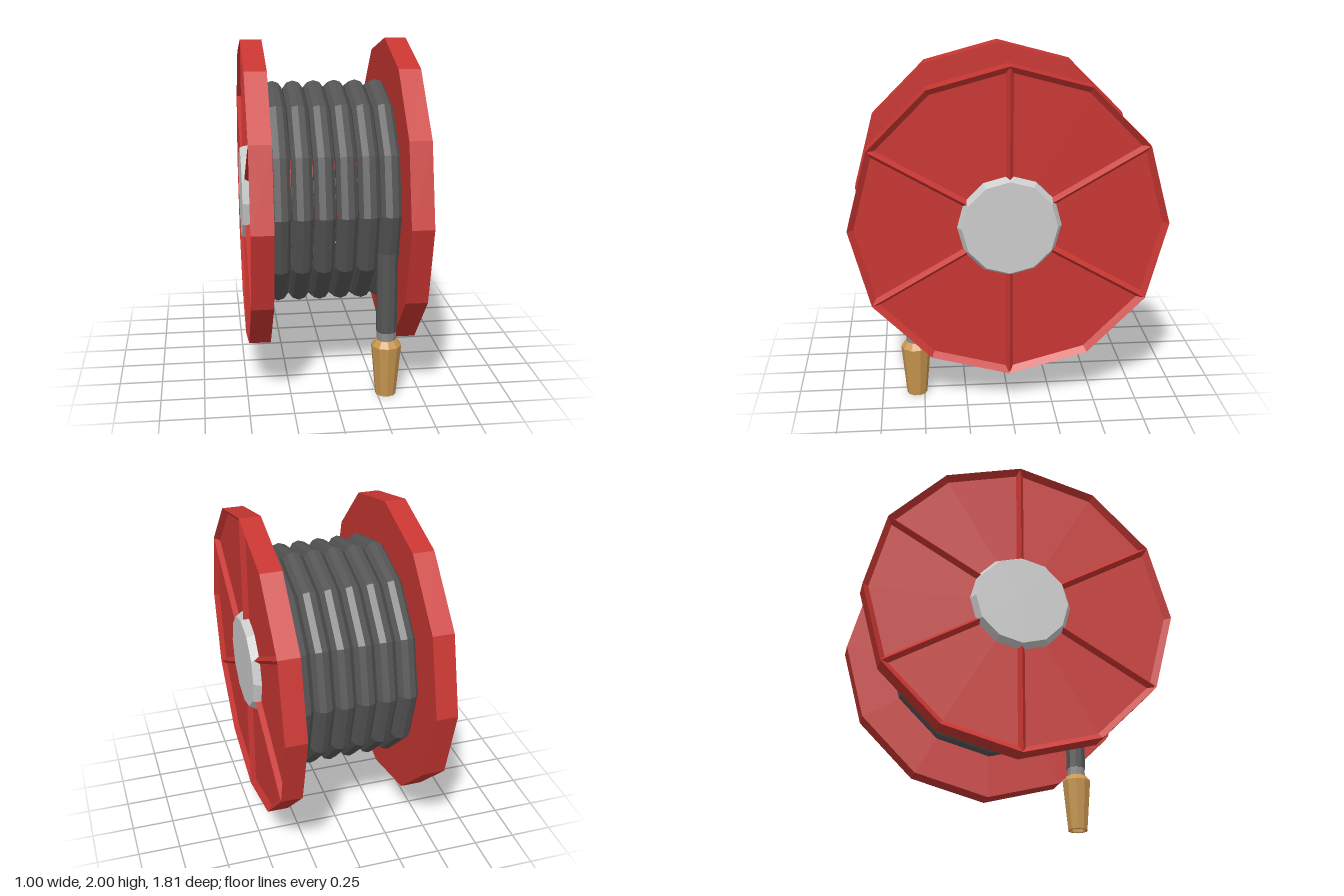
import * as THREE from 'three';

const AXLE_Y = 1.095;
const SIDES = 12;

const paint = (color, side = THREE.FrontSide) =>
  new THREE.MeshStandardMaterial({ color, flatShading: true, side });
const red = paint(0xc83632);
const rubber = paint(0x555555);
const steel = paint(0xcccccc);
const fittingGrey = paint(0x8c8c8c);
const brass = paint(0xc8964f, THREE.DoubleSide);

function add(parent, name, geometry, material) {
  const mesh = new THREE.Mesh(geometry, material);
  mesh.name = name;
  parent.add(mesh);
  return mesh;
}

const lathe = (profile, sides) =>
  new THREE.LatheGeometry(profile.map(([r, h]) => new THREE.Vector2(r, h)), sides);

// Lathe turned so that its axis runs along x
const wheelLathe = (profile) => lathe(profile, SIDES).rotateZ(-Math.PI / 2);

// Straight piece of hose between two points
function hosePiece(parent, a, b, radius, material, name) {
  const dir = b.clone().sub(a);
  const mesh = add(parent, name,
    new THREE.CylinderGeometry(radius, radius, dir.length(), 10), material);
  mesh.position.copy(a).add(b).multiplyScalar(0.5);
  mesh.quaternion.setFromUnitVectors(new THREE.Vector3(0, 1, 0), dir.normalize());
}

// One reel flange facing +x: dished disc, six ridge spokes and a hub cap
function flange() {
  const group = new THREE.Group();
  add(group, 'disc', wheelLathe(
    [[0, 0.36], [0.907, 0.36], [0.907, 0.485], [0.872, 0.455], [0, 0.455]]), red);

  const ridge = new THREE.Shape([
    new THREE.Vector2(-0.025, 0.45), new THREE.Vector2(0.025, 0.45), new THREE.Vector2(0, 0.485)]);
  for (let i = 0; i < 6; i++) {
    const spoke = new THREE.ExtrudeGeometry(ridge, { depth: 0.645, bevelEnabled: false })
      .translate(0, 0, 0.25)
      .rotateZ(-Math.PI / 2)
      .rotateX(Math.PI / 6 + i * Math.PI / 3);
    add(group, 'spoke', spoke, red);
  }

  add(group, 'hubCap', wheelLathe([[0.297, 0.452], [0.27, 0.5], [0, 0.5]]), steel);
  return group;
}

export function createModel() {
  const model = new THREE.Group();
  model.name = 'hoseReel';

  // Reel
  const reel = new THREE.Group();
  reel.name = 'reel';
  reel.position.y = AXLE_Y;
  model.add(reel);
  for (const side of ['left', 'right']) {
    const wheel = flange();
    wheel.name = side + 'Flange';
    if (side === 'right') wheel.rotation.y = Math.PI;
    reel.add(wheel);
  }
  add(reel, 'drum',
    new THREE.CylinderGeometry(0.19, 0.19, 0.73, SIDES).rotateZ(Math.PI / 2), red);

  // Six turns of hose
  for (let i = 0; i < 6; i++) {
    const coil = add(reel, 'hoseCoil',
      new THREE.TorusGeometry(0.604, 0.061, 10, SIDES).rotateY(Math.PI / 2), rubber);
    coil.position.x = (i - 2.5) * 0.122;
  }

  // Loose end hanging down at the front
  const x = 0.3, z = 0.545;
  const p = (y, pz = z) => new THREE.Vector3(x, y, pz);
  hosePiece(model, p(AXLE_Y, 0.6), p(0.87), 0.06, rubber, 'hoseTailBend');
  hosePiece(model, p(0.89), p(0.39), 0.06, rubber, 'hoseTail');
  hosePiece(model, p(0.4), p(0.32), 0.056, fittingGrey, 'hoseFitting');

  // Hollow tapered nozzle
  const nozzle = add(model, 'nozzle', lathe(
    [[0, 0.12], [0.042, 0.12], [0.046, 0], [0.06, 0], [0.088, 0.305], [0.06, 0.34], [0, 0.34]], 10), brass);
  nozzle.position.set(x, 0, z);

  return model;
}
